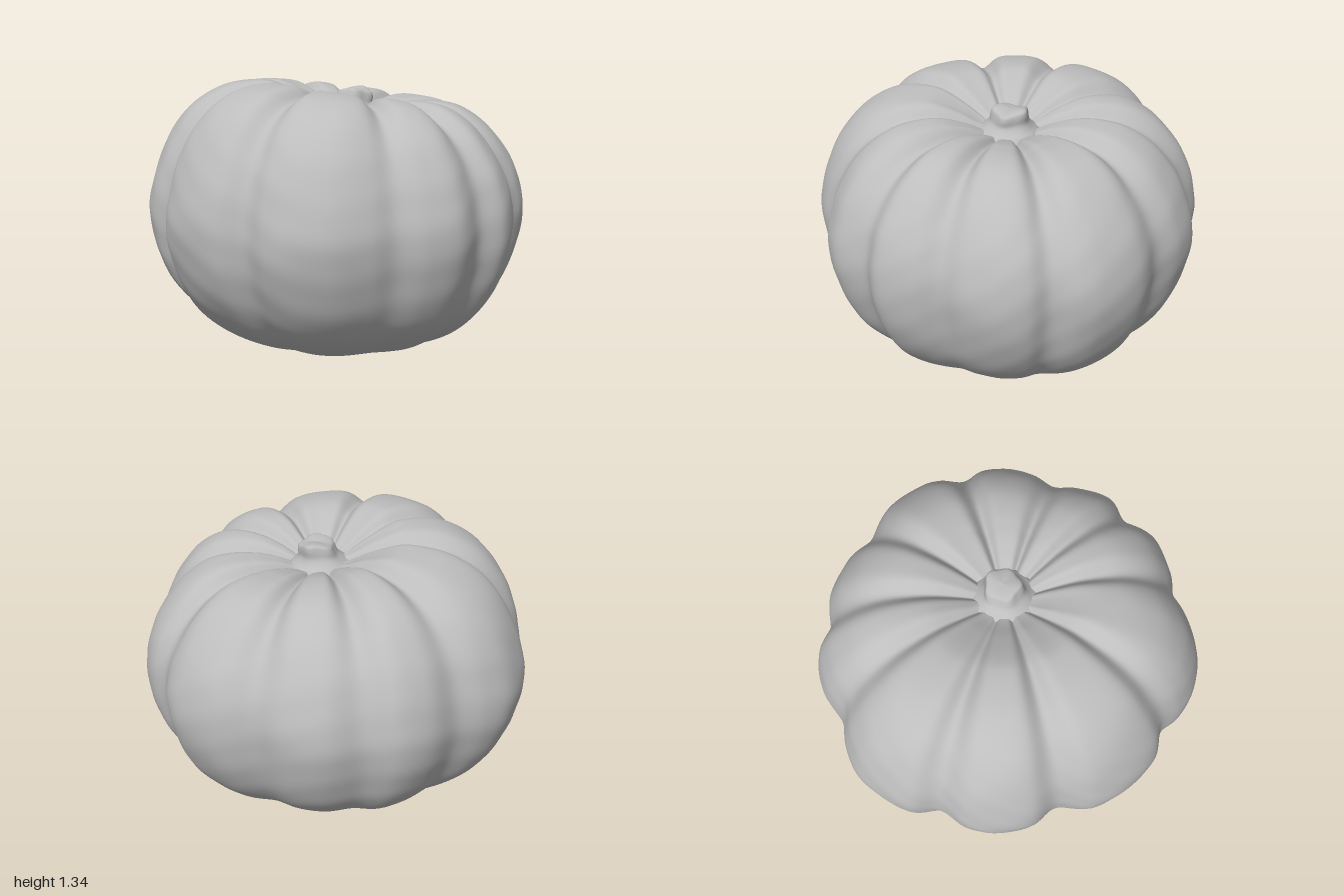
import * as THREE from 'three';

const skin = new THREE.MeshStandardMaterial({ color: 0xbdbdbd });
skin.name = 'pale grey';

const AXIS = { x: 0.05, z: 0.07 }; // where all the ribs meet

// Lobed outline seen from above (x, z), clockwise from the back
const OUTLINE = [
  [0, -1], [0.17, -0.99], [0.3, -0.93], [0.42, -0.84], [0.6, -0.76], [0.72, -0.66],
  [0.785, -0.51], [0.9, -0.35], [0.945, -0.18], [0.935, 0], [0.97, 0.2], [0.92, 0.42],
  [0.86, 0.51], [0.76, 0.6], [0.71, 0.7], [0.6, 0.8], [0.45, 0.865], [0.32, 0.89],
  [0.2, 0.95], [0.02, 0.997], [-0.12, 0.95], [-0.32, 0.945], [-0.45, 0.87], [-0.57, 0.76],
  [-0.68, 0.69], [-0.83, 0.57], [-0.92, 0.4], [-0.935, 0.27], [-0.925, 0.14], [-0.97, 0],
  [-0.95, -0.2], [-0.87, -0.38], [-0.73, -0.51], [-0.68, -0.65], [-0.55, -0.79],
  [-0.42, -0.86], [-0.26, -0.89], [-0.15, -0.97],
];
const GROOVES = [3, 6, 9, 13, 17, 20, 23, 28, 32, 36]; // outline points lying in a groove

// Meridian of one rib (fraction of outline radius, height), top to bottom
const PROFILE = [
  [0, 1.17], [0.12, 1.19], [0.24, 1.245], [0.38, 1.29], [0.5, 1.293], [0.63, 1.265], [0.77, 1.18],
  [0.88, 1.05], [0.96, 0.89], [1, 0.7], [0.975, 0.51], [0.91, 0.345], [0.83, 0.23], [0.72, 0.13],
  [0.6, 0.062], [0.48, 0.02], [0.36, 0.006], [0.22, 0.02], [0.1, 0.045], [0, 0.05],
];

const angleOf = (x, z) => Math.atan2(z - AXIS.z, x - AXIS.x);
const grooveAngles = GROOVES.map((i) => angleOf(...OUTLINE[i]));

// 1 in the bottom of a groove, 0 on a rib
function grooveAt(a) {
  return grooveAngles.reduce((best, g) => {
    const d = Math.atan2(Math.sin(a - g), Math.cos(a - g));
    return Math.max(best, Math.exp(-((d / 0.1) ** 2)));
  }, 0);
}

// Closed skin through rings of points, listed from top to bottom
function skinRings(rows, cols, pointAt) {
  const pos = [], index = [];
  for (let i = 0; i <= rows; i++) {
    for (let j = 0; j < cols; j++) {
      pos.push(...pointAt(i / rows, j / cols));
      if (i === rows) continue;
      const a = i * cols + j, b = i * cols + ((j + 1) % cols);
      index.push(a, b, a + cols, b, b + cols, a + cols);
    }
  }
  const geo = new THREE.BufferGeometry();
  geo.setAttribute('position', new THREE.Float32BufferAttribute(pos, 3));
  geo.setIndex(index);
  geo.computeVertexNormals();
  return geo;
}

function bodyGeometry() {
  const outline = new THREE.CatmullRomCurve3(
    OUTLINE.map(([x, z]) => new THREE.Vector3(x, 0, z)), true, 'centripetal');
  const profile = new THREE.CatmullRomCurve3(PROFILE.map(([r, y]) => new THREE.Vector3(r, y, 0)));
  return skinRings(110, 300, (t, u) => {
    const o = outline.getPoint(u), p = profile.getPoint(t);
    const a = angleOf(o.x, o.z), groove = grooveAt(a);
    const r = Math.max(0, p.x);
    const upper = THREE.MathUtils.smoothstep(p.y, 0.7, 1.2);
    const lower = 1 - THREE.MathUtils.smoothstep(p.y, 0.05, 0.5);
    const rim = Math.min(1, r / 0.4);
    // shoulders are higher at the back and on the right-hand side of the model
    let y = p.y + upper * rim * (-0.045 * Math.cos(a) - 0.035 * Math.sin(a));
    y -= upper * groove * 0.055 * Math.sin(Math.PI * Math.min(1, r));
    // groove carving fades out underneath
    let s = r * (1 - 0.018 * groove * (1 - lower));
    // gentle hand-grown unevenness
    const wobble = Math.sin(7 * o.x + 9 * y) * Math.sin(8 * o.z - 6 * y)
      + 0.6 * Math.sin(19 * o.x - 15 * y) * Math.sin(17 * o.z + 21 * y);
    s *= 1 + 0.004 * wobble;
    return [AXIS.x + (o.x - AXIS.x) * s, Math.max(0, y), AXIS.z + (o.z - AXIS.z) * s];
  });
}

// Short leaning stub, rounded at the base and five-sided at the cut
function stemGeometry() {
  // radius, height
  const profile = new THREE.CatmullRomCurve3([
    [0, 1.3], [0.05, 1.302], [0.082, 1.295], [0.092, 1.27], [0.1, 1.235], [0.125, 1.205], [0.155, 1.18], [0.18, 1.14],
  ].map(([r, y]) => new THREE.Vector3(r, y, 0)));
  return skinRings(28, 60, (t, u) => {
    const p = profile.getPoint(t), a = u * Math.PI * 2;
    const lean = THREE.MathUtils.smoothstep(p.y, 1.17, 1.3);
    const r = Math.max(0, p.x) * (1 + 0.07 * lean * Math.cos(5 * a));
    return [
      AXIS.x + 0.025 * lean + r * Math.cos(a),
      p.y + 0.012 * lean * Math.cos(a * 2 + 0.5) * (r / 0.09),
      AXIS.z + 0.015 * lean + r * Math.sin(a),
    ];
  });
}

export function createModel() {
  const model = new THREE.Group();
  model.name = 'pumpkin';
  const add = (name, geometry) => {
    const mesh = new THREE.Mesh(geometry, skin);
    mesh.name = name;
    model.add(mesh);
    return mesh;
  };
  add('ribbedBody', bodyGeometry());
  add('stem', stemGeometry());
  // small wart beside the stem
  const wart = add('wart', new THREE.SphereGeometry(0.035, 20, 14));
  wart.position.set(-0.165, 1.225, -0.135);
  return model;
}
